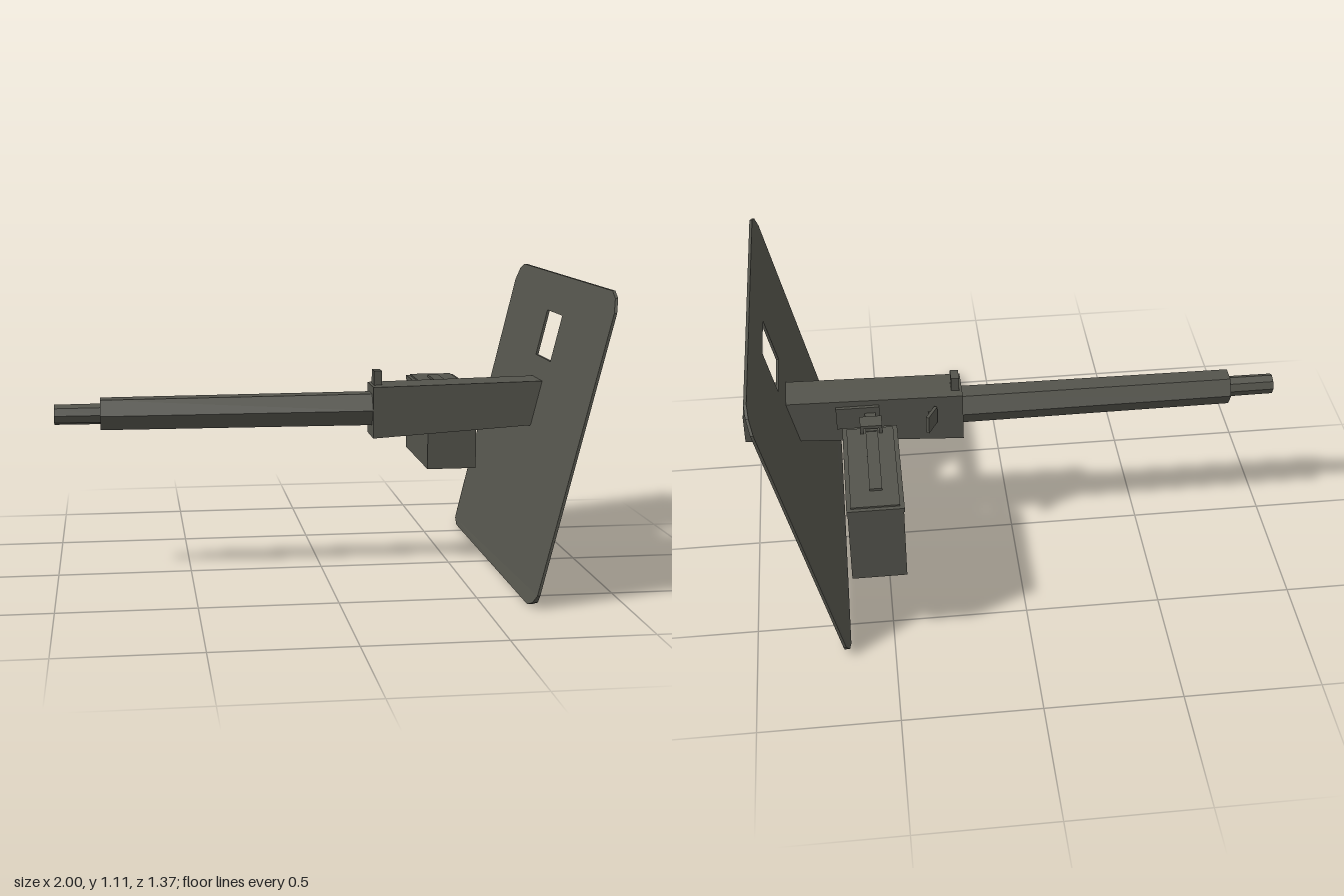
import * as THREE from 'three';

export function createModel() {
  const model = new THREE.Group();
  const steel = new THREE.MeshStandardMaterial({ color: 0x54544c, flatShading: true });
  steel.name = 'olive grey steel';

  function add(name, geometry, parent = model) {
    const mesh = new THREE.Mesh(geometry, steel);
    mesh.name = name;
    parent.add(mesh);
    return mesh;
  }
  // Box given by its limits on each axis
  function box(name, [x0, x1], [y0, y1], [z0, z1], parent) {
    const g = new THREE.BoxGeometry(x1 - x0, y1 - y0, z1 - z0);
    g.translate((x0 + x1) / 2, (y0 + y1) / 2, (z0 + z1) / 2);
    return add(name, g, parent);
  }
  // Faceted tube lying along x
  function rod(name, x0, x1, r0, r1, sides, open = false) {
    const g = new THREE.CylinderGeometry(r0, r1, x1 - x0, sides, 1, open);
    g.rotateZ(Math.PI / 2).translate((x0 + x1) / 2, 0.615, -0.004);
    return add(name, g);
  }

  // Barrel jacket and muzzle
  rod('barrelJacket', -0.83, 0.2, 0.065, 0.069, 6);
  rod('muzzle', -1, -0.82, 0.038, 0.039, 8);

  // Receiver: side profile with a chamfered rear, extruded across z
  const profile = new THREE.Shape([
    [0.19, 0.51], [1.0, 0.56], [1.0, 0.67], [0.97, 0.72], [0.19, 0.705],
  ].map(([x, y]) => new THREE.Vector2(x, y)));
  const receiver = new THREE.ExtrudeGeometry(profile, { depth: 0.145, bevelEnabled: false });
  add('receiver', receiver.translate(0, 0, -0.077));
  box('frontSight', [0.2, 0.23], [0.69, 0.76], [-0.04, 0.015]);

  // Cocking handle on the far side
  const handle = new THREE.Group();
  handle.name = 'cockingHandle';
  model.add(handle);
  box('handleStub', [0.3, 0.32], [0.62, 0.645], [-0.11, -0.07], handle);
  const grip = add('handleGrip', new THREE.BoxGeometry(0.012, 0.07, 0.075), handle);
  grip.position.set(0.31, 0.635, -0.117);
  grip.rotation.y = -0.5;

  // Ammunition box with rimmed lid
  const ammo = new THREE.Group();
  ammo.name = 'ammunitionBox';
  model.add(ammo);
  box('boxBody', [0.443, 0.637], [0.34, 0.635], [-0.627, -0.153], ammo);
  box('boxLid', [0.44, 0.64], [0.63, 0.647], [-0.63, -0.15], ammo);
  box('lidPanel', [0.455, 0.625], [0.645, 0.653], [-0.615, -0.165], ammo);
  box('lidRib', [0.512, 0.556], [0.65, 0.662], [-0.53, -0.15], ammo);

  // Feed bracket and neck joining the box to the receiver
  const feed = new THREE.Group();
  feed.name = 'feed';
  model.add(feed);
  for (const x of [0.495, 0.563]) box('bracketSide', [x, x + 0.012], [0.61, 0.685], [-0.2, -0.14], feed);
  box('bracketTop', [0.495, 0.575], [0.675, 0.687], [-0.2, -0.14], feed);
  box('feedNeck', [0.515, 0.555], [0.625, 0.665], [-0.2, -0.08], feed);
  box('feedPlate', [0.5, 0.66], [0.6, 0.69], [-0.09, -0.07], feed);

  // Shield: outline in z and y with a sight window, leaned backwards
  const half = [[0.6, 0], [0.65, 0.02], [0.672, 0.05], [0.685, 1.04], [0.655, 1.088], [0.605, 1.11]];
  const outline = [...half, ...half.map(([z, y]) => [-z, y]).reverse()];
  const plate = new THREE.Shape(outline.map(([z, y]) => new THREE.Vector2(z, y)));
  plate.holes.push(new THREE.Path([
    [-0.105, 0.797], [-0.105, 0.97], [0.105, 0.97], [0.105, 0.797],
  ].map(([z, y]) => new THREE.Vector2(z, y))));
  const shield = new THREE.ExtrudeGeometry(plate, { depth: 1, bevelEnabled: false });
  shield.rotateY(Math.PI / 2);
  const p = shield.attributes.position;
  for (let i = 0; i < p.count; i++) {
    const y = p.getY(i);
    const thickness = y < 0.03 ? 0.02 : 0.01; // thicker lower lip
    p.setX(i, 0.67 + 0.243 * y + (p.getX(i) - 0.5) * thickness);
  }
  shield.computeVertexNormals();
  add('shield', shield);

  return model;
}
